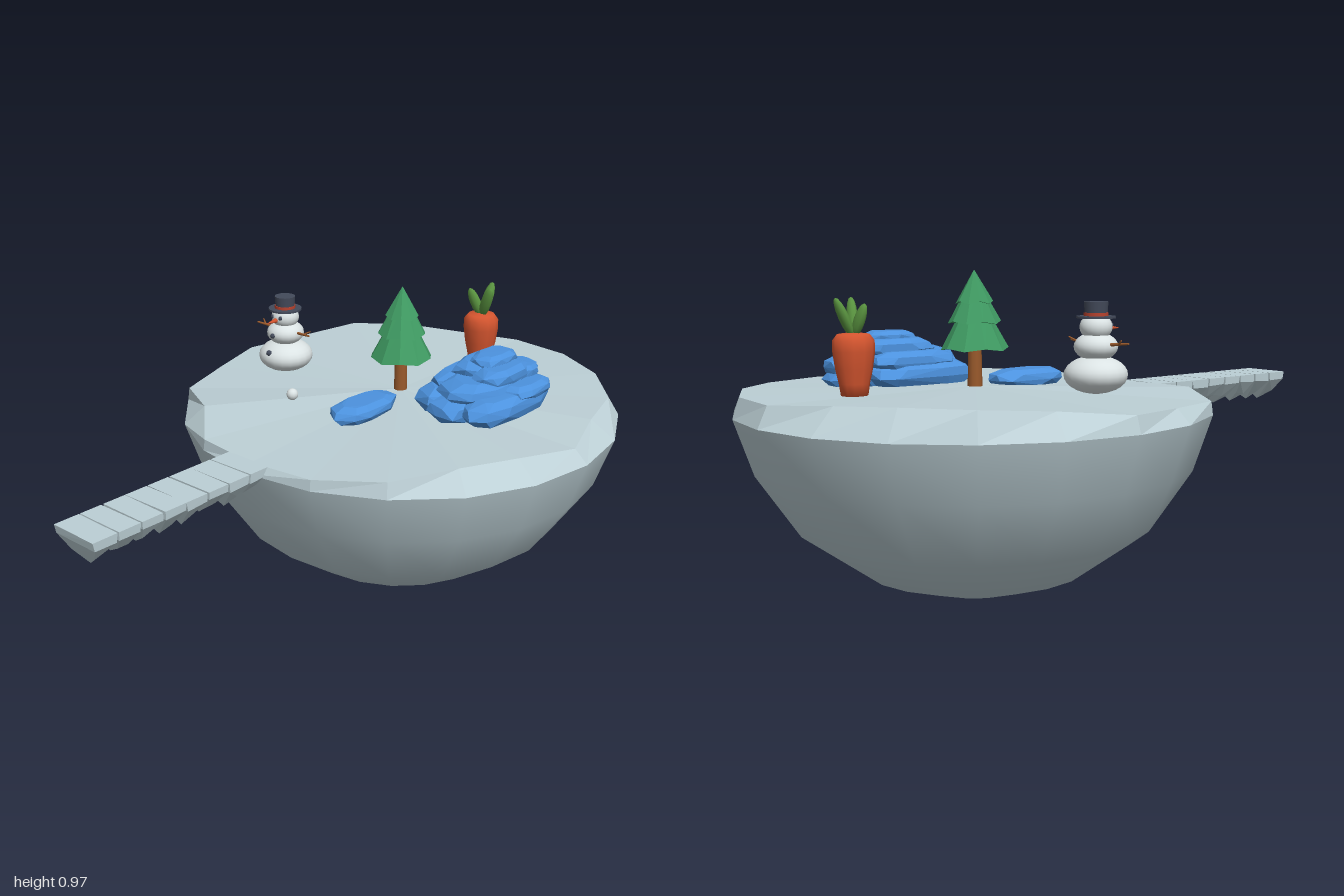
import * as THREE from 'three';
import { ConvexGeometry } from 'three/addons/geometries/ConvexGeometry.js';

const V = (x, y, z) => new THREE.Vector3(x, y, z);

function makeRandom(seed) {
  return () => (seed = (seed * 16807) % 2147483647) / 2147483647;
}

export function createModel() {
  const root = new THREE.Group();
  const mat = (name, color, flat = false) => {
    const m = new THREE.MeshStandardMaterial({ color, flatShading: flat });
    m.name = name;
    return m;
  };
  const snow = mat('snow', 0xbccfd5);
  const white = mat('snowmanWhite', 0xdbe3e4);
  const ice = mat('blueIce', 0x4c92de, true);
  const green = mat('pineGreen', 0x3f9a62, true);
  const leafGreen = mat('leafGreen', 0x5a9440);
  const brown = mat('bark', 0x9a5a2c);
  const orange = mat('carrotOrange', 0xd4552f);
  const dark = mat('charcoal', 0x434a5a);
  const red = mat('hatBand', 0xb8432f);

  const add = (parent, name, geo, material, x = 0, y = 0, z = 0) => {
    const m = new THREE.Mesh(geo, material);
    m.name = name;
    m.position.set(x, y, z);
    parent.add(m);
    return m;
  };
  const group = (name, x = 0, y = 0, z = 0) => {
    const g = new THREE.Group();
    g.name = name;
    g.position.set(x, y, z);
    root.add(g);
    return g;
  };
  const lathe = (pts, n) => new THREE.LatheGeometry(pts.map(p => new THREE.Vector2(...p)), n);
  // Thin round rod between two points
  const rod = (parent, name, a, b, r0, r1, material) => {
    const d = b.clone().sub(a);
    const m = add(parent, name, new THREE.CylinderGeometry(r1, r0, d.length(), 8), material);
    m.position.copy(a).add(b).multiplyScalar(0.5);
    m.quaternion.setFromUnitVectors(V(0, 1, 0), d.normalize());
    return m;
  };

  // Island: smooth bowl with a bevelled, uneven rim and top
  const island = group('island', 0, 0, -0.3);
  add(island, 'bowl', lathe([[0, 0.003], [0.12, 0.012], [0.335, 0.08], [0.525, 0.215],
    [0.65, 0.4], [0.705, 0.563]], 20), snow);
  const rimR = [0.685, 0.70, 0.69, 0.63, 0.62, 0.66, 0.627, 0.668, 0.68, 0.685,
    0.675, 0.62, 0.635, 0.665, 0.637, 0.69, 0.665, 0.70, 0.64, 0.70];
  const rimY = [0.592, 0.597, 0.61, 0.62, 0.615, 0.603, 0.62, 0.62, 0.625, 0.625,
    0.625, 0.635, 0.643, 0.643, 0.63, 0.612, 0.607, 0.603, 0.62, 0.597];
  const ring = (k, r, y) => [r * Math.sin(k * Math.PI / 10), y, r * Math.cos(k * Math.PI / 10)];
  const rim = [], top = [];
  for (let k = 0; k < 20; k++) {
    const n = (k + 1) % 20;
    const a = ring(k, 0.705, 0.563), b = ring(n, 0.705, 0.563);
    const c = ring(n, rimR[n], rimY[n]), d = ring(k, rimR[k], rimY[k]);
    rim.push(...a, ...b, ...c, ...a, ...c, ...d);
    top.push(...d, ...c, 0, 0.628, 0);
  }
  for (const [name, pos] of [['rim', rim], ['topSurface', top]]) {
    const g = new THREE.BufferGeometry();
    g.setAttribute('position', new THREE.Float32BufferAttribute(pos, 3));
    g.computeVertexNormals();
    add(island, name, g, snow);
  }

  // Bridge: a row of stone slabs tapering to a point underneath
  const bridge = group('bridge', -0.02, 0, 0);
  const rnd = makeRandom(71);
  for (let i = 0; i < 8; i++) {
    const j = s => (rnd() - 0.5) * s;
    const pts = [];
    for (const sx of [-1, 1]) for (const sz of [-1, 1]) {
      pts.push(V(sx * 0.081, 0.594, sz * 0.037 + j(0.007)));
      pts.push(V(sx * 0.08, 0.568 + j(0.008), sz * 0.035));
      pts.push(V(sx * 0.045 + j(0.015), 0.528 + j(0.01), sz * 0.016));
    }
    pts.push(V(j(0.03), 0.493 + j(0.012), j(0.012)));
    add(bridge, 'slab', new ConvexGeometry(pts), snow, 0, 0, 0.961 - i * 0.0785);
  }

  // Ice boulders: convex chunks [x, y, z, half width, half height, half length]
  const chunk = (parent, [x, y, z, w, h, l], seed) => {
    const r = makeRandom(seed * 977 + 13), pts = [];
    for (const [t, s] of [[-1, 0.88], [-0.3, 1], [0.45, 0.95], [1, 0.66]]) {
      for (let k = 0; k < 9; k++) {
        const a = (k + r() * 0.5) / 9 * Math.PI * 2, q = s * (0.93 + r() * 0.12);
        const round = v => Math.sign(v) * Math.abs(v) ** 0.75;
        pts.push(V(round(Math.cos(a)) * w * q, t * h * (0.94 + r() * 0.06), round(Math.sin(a)) * l * q));
      }
    }
    add(parent, 'iceChunk', new ConvexGeometry(pts), ice, x, y, z);
  };
  const boulder = group('iceBoulder');
  [[0.27, 0.655, -0.39, 0.085, 0.035, 0.26], [0.18, 0.66, -0.37, 0.07, 0.035, 0.19],
    [0.37, 0.66, -0.36, 0.07, 0.036, 0.20], [0.385, 0.69, -0.44, 0.055, 0.022, 0.11],
    [0.19, 0.70, -0.40, 0.065, 0.028, 0.15], [0.28, 0.70, -0.36, 0.10, 0.03, 0.17],
    [0.265, 0.69, -0.56, 0.065, 0.025, 0.09], [0.24, 0.737, -0.43, 0.07, 0.026, 0.13],
    [0.32, 0.73, -0.40, 0.06, 0.028, 0.12], [0.27, 0.764, -0.43, 0.055, 0.02, 0.09],
    [0.35, 0.72, -0.5, 0.032, 0.025, 0.04]].forEach((c, i) => chunk(boulder, c, i + 3));
  const smallIce = group('smallIceRock');
  chunk(smallIce, [0.035, 0.64, -0.075, 0.066, 0.025, 0.135], 40);

  // Pine tree: trunk and three stacked skirts
  const tree = group('pineTree', 0, 0, -0.3);
  add(tree, 'trunk', new THREE.CylinderGeometry(0.02, 0.022, 0.14, 10), brown, 0, 0.685, 0);
  for (const [y0, r0, y1, r1] of [[0.737, 0.1, 0.84, 0.045], [0.815, 0.078, 0.905, 0.03],
    [0.873, 0.055, 0.97, 0]]) {
    const g = new THREE.CylinderGeometry(r1, r0, y1 - y0, 10);
    const p = g.attributes.position;
    // Alternate hem points dip for a jagged edge
    for (let i = 0; i < p.count; i++) {
      const x = p.getX(i), z = p.getZ(i);
      if (p.getY(i) < 0 && Math.hypot(x, z) > 0.01) {
        const k = Math.round(Math.atan2(x, z) / (Math.PI / 5));
        p.setY(i, p.getY(i) + (k % 2 ? 0.006 : -0.002));
      }
    }
    add(tree, 'branches', g, green, 0, (y0 + y1) / 2, 0);
  }

  // Carrot planted in the snow, with three leaves
  const carrot = group('carrot', 0.035, 0, -0.69);
  add(carrot, 'carrotRoot', lathe([[0, 0.615], [0.037, 0.62], [0.043, 0.66], [0.052, 0.70],
    [0.059, 0.75], [0.058, 0.78], [0.045, 0.797], [0, 0.803]], 12), orange);
  for (const [x, z, h] of [[0.045, 0.02, 0.1], [-0.04, 0.012, 0.085], [0.005, -0.045, 0.1]]) {
    const leaf = add(carrot, 'leaf', new THREE.SphereGeometry(1, 10, 8), leafGreen, x * 0.55, 0.793 + h / 2, z * 0.6);
    leaf.scale.set(0.02, h * 0.6, 0.014);
    leaf.quaternion.setFromUnitVectors(V(0, 1, 0), V(x, h, z).normalize());
  }

  // Snowman
  const man = group('snowman', -0.4, 0, -0.18);
  for (const [name, y, r, h] of [['lowerBody', 0.685, 0.09, 0.053], ['upperBody', 0.763, 0.062, 0.04],
    ['head', 0.817, 0.046, 0.038]]) {
    add(man, name, new THREE.SphereGeometry(1, 20, 14), white, 0, y, 0).scale.set(r, h, r);
  }
  add(man, 'hatBrim', new THREE.CylinderGeometry(0.055, 0.055, 0.006, 16), dark, 0, 0.844, 0);
  add(man, 'hatCrown', new THREE.CylinderGeometry(0.034, 0.031, 0.042, 16), dark, 0, 0.866, 0);
  add(man, 'hatBand', new THREE.CylinderGeometry(0.0345, 0.0345, 0.009, 16), red, 0, 0.852, 0);
  const bead = (name, x, y, z, r) => add(man, name, new THREE.SphereGeometry(r, 8, 6), dark, x, y, z);
  bead('button', 0, 0.763, 0.061, 0.009);
  bead('button', 0, 0.708, 0.08, 0.01);
  rod(man, 'nose', V(0, 0.813, 0.04), V(0, 0.811, 0.085), 0.009, 0.001, orange);
  for (const s of [-1, 1]) {
    bead('eye', s * 0.017, 0.822, 0.041, 0.007);
    rod(man, 'arm', V(s * 0.05, 0.77, 0), V(s * 0.118, 0.776, 0.012), 0.005, 0.003, brown);
    rod(man, 'twig', V(s * 0.088, 0.774, 0.005), V(s * 0.108, 0.785, -0.006), 0.003, 0.002, brown);
  }

  // Loose snowball
  add(root, 'snowball', new THREE.SphereGeometry(0.019, 12, 8), white, -0.2, 0.642, 0);

  return root;
}
